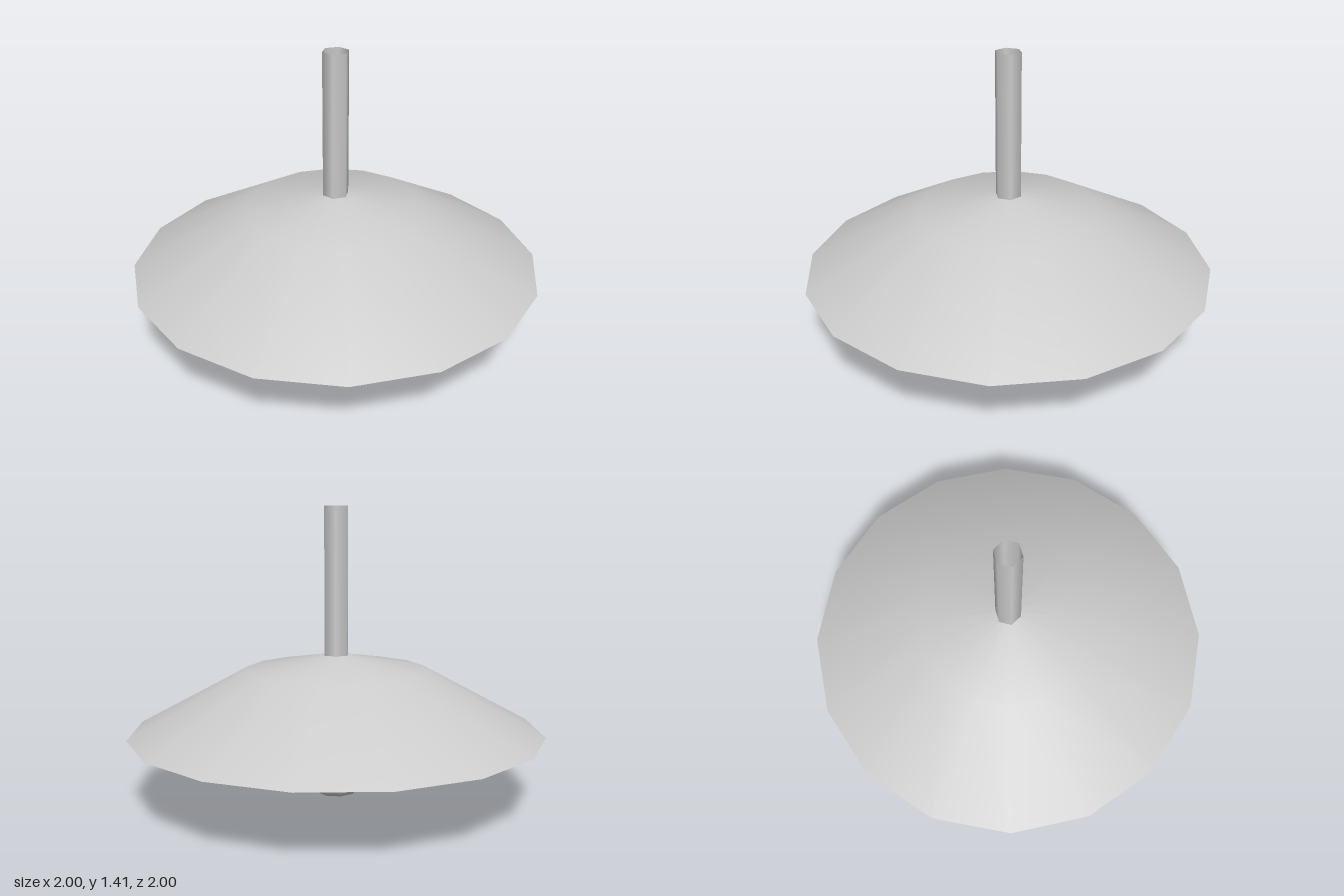
import * as THREE from 'three';

const grey = new THREE.MeshStandardMaterial({ color: 0xcccccc });
const greyDouble = new THREE.MeshStandardMaterial({ color: 0xcccccc, side: THREE.DoubleSide });

// Smooth low-poly turned surface; points running upward face outward
function turned(name, profile, sides) {
  const points = profile.map(([r, y]) => new THREE.Vector2(r, y));
  const mesh = new THREE.Mesh(new THREE.LatheGeometry(points, sides), grey);
  mesh.name = name;
  return mesh;
}

export function createModel() {
  const model = new THREE.Group();
  model.name = 'pendantLamp';

  // Shade: one closed smooth skin, from the lining out to the rim and back over the top
  model.add(turned('shade', [
    [0, 0.665], [0.01, 0.665], [0.42, 0.595], [0.95, 0.323],
    [1, 0.332], [0.44, 0.635], [0.01, 0.712], [0, 0.712]
  ], 16));

  // Bulb: eight-sided capsule, domed alike at both ends
  model.add(turned('bulb', [
    [0, 0], [0.095, 0.022], [0.169, 0.107],
    [0.169, 0.595], [0.095, 0.68], [0, 0.702]
  ], 8));

  // Hanging rod: open six-sided tube
  const bottom = 0.698, top = 1.412;
  const rod = new THREE.Mesh(
    new THREE.CylinderGeometry(0.064, 0.064, top - bottom, 6, 1, true), greyDouble);
  rod.name = 'rod';
  rod.position.y = (top + bottom) / 2;
  model.add(rod);

  return model;
}
